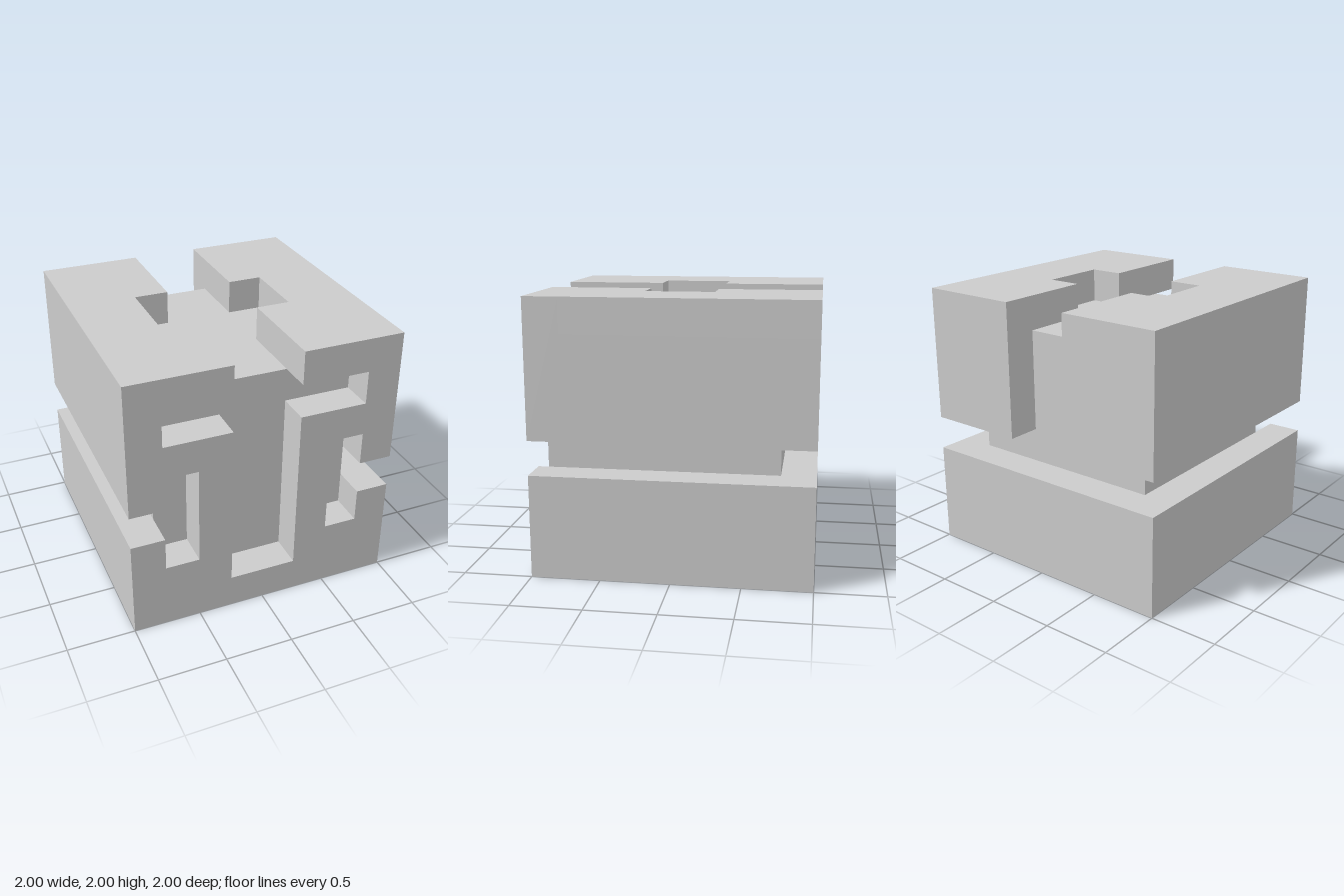
import * as THREE from 'three';

const material = new THREE.MeshStandardMaterial({ color: 0xcccccc, flatShading: true });

// Extrude a closed outline of [a, b] points by the given depth.
function extrude(points, depth) {
  const shape = new THREE.Shape(points.map(([a, b]) => new THREE.Vector2(a, b)));
  return new THREE.ExtrudeGeometry(shape, { depth, bevelEnabled: false });
}

// Horizontal layer: outline of [x, z] points between heights y0 and y1.
function layer(points, y0, y1) {
  return extrude(points.map(([x, z]) => [x, -z]), y1 - y0)
    .rotateX(-Math.PI / 2)
    .translate(0, y0, 0);
}

const mirrorX = (points) => points.map(([x, z]) => [-x, z]).reverse();
const symmetric = (half) => [...half, ...mirrorX(half)];
const rect = (x, z0, z1) => symmetric([[x, z0], [x, z1]]);

export function createModel() {
  const group = new THREE.Group();
  const add = (name, geometry) => {
    const mesh = new THREE.Mesh(geometry, material);
    mesh.name = name;
    group.add(mesh);
  };

  // Front plate, cut by the T-shaped channel and the two side slots
  const frontHalf = [
    [0.25, 0.25], [0.25, 1.5], [0.75, 1.5], [0.75, 1.75], [0.25, 1.75], [0.25, 2],
    [1, 2], [1, 1], [0.75, 1], [0.75, 1.25], [0.5, 1.25], [0.5, 0.5],
    [0.75, 0.5], [0.75, 0.75], [1, 0.75], [1, 0],
  ];
  add('frontPlate', extrude(symmetric(frontHalf), 0.25).translate(0, 0, 0.75));

  // Solid base, and the recessed core that forms the groove around sides and back
  add('base', layer(rect(1, -1, 0.75), 0, 0.75));
  add('grooveCore', layer(rect(0.75, -0.75, 0.75), 0.75, 1));

  // Upper block with the vertical channel in its back
  const upperHalf = [[0.25, -0.75], [0.25, -1], [1, -1], [1, 0.75]];
  add('upperBlock', layer(symmetric(upperHalf), 1, 1.75));

  // Top rails either side of the cross-shaped channel
  const rail = [
    [0.25, -1], [1, -1], [1, 0.75], [0.25, 0.75],
    [0.25, 0.25], [0.5, 0.25], [0.5, -0.25], [0.25, -0.25],
  ];
  add('leftTopRail', layer(rail, 1.75, 2));
  add('rightTopRail', layer(mirrorX(rail), 1.75, 2));

  return group;
}
